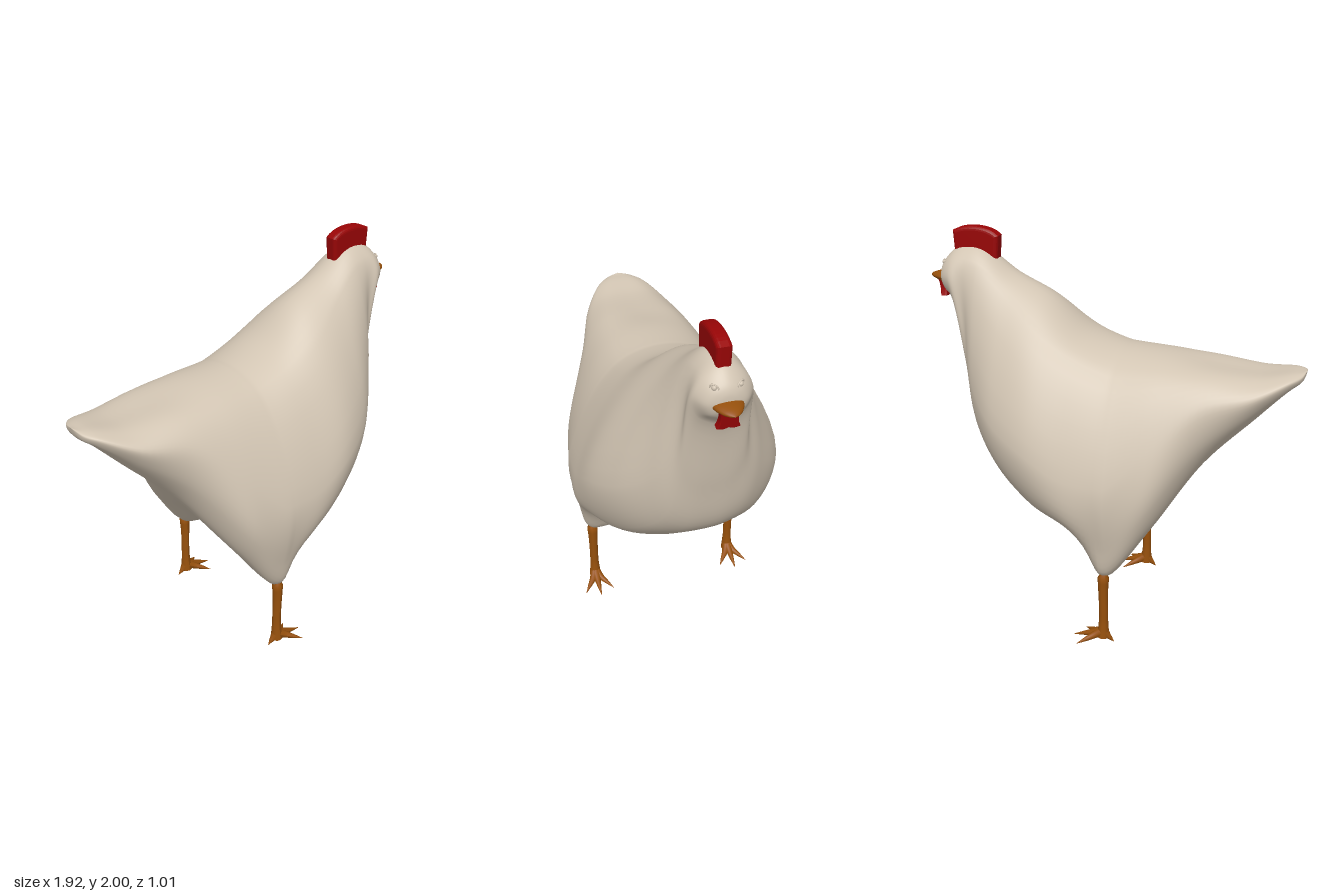
import * as THREE from 'three';

const plumage = new THREE.MeshStandardMaterial({ color: 0xd2c5b3 });
plumage.name = 'plumage';
const combRed = new THREE.MeshStandardMaterial({ color: 0x980506 });
combRed.name = 'combRed';
const horn = new THREE.MeshStandardMaterial({ color: 0x96500c });
horn.name = 'horn';

const V = (x, y, z) => new THREE.Vector3(x, y, z);

function add(parent, name, geometry, material) {
  const mesh = new THREE.Mesh(geometry, material);
  mesh.name = name;
  parent.add(mesh);
  return mesh;
}

// Cross-sections from tail to head:
// x, top y, then (z, y) of shoulder, widest, flank and underside, then belly y
const SECTIONS = [
  [-0.90, 1.425, 0.08, 1.42, 0.13, 1.395, 0.11, 1.36, 0.06, 1.345, 1.34],
  [-0.75, 1.405, 0.14, 1.395, 0.225, 1.33, 0.19, 1.25, 0.10, 1.195, 1.185],
  [-0.52, 1.42, 0.19, 1.40, 0.30, 1.27, 0.29, 1.08, 0.18, 0.965, 0.95],
  [-0.30, 1.455, 0.23, 1.39, 0.41, 1.08, 0.45, 0.79, 0.35, 0.635, 0.71],
  [-0.115, 1.47, 0.25, 1.38, 0.487, 0.90, 0.46, 0.57, 0.393, 0.388, 0.57],
  [-0.068, 1.475, 0.25, 1.385, 0.492, 0.90, 0.46, 0.57, 0.393, 0.388, 0.56],
  [0.10, 1.53, 0.25, 1.44, 0.497, 0.92, 0.465, 0.68, 0.22, 0.56, 0.55],
  [0.30, 1.69, 0.23, 1.55, 0.475, 1.02, 0.39, 0.73, 0.20, 0.625, 0.61],
  [0.50, 1.79, 0.15, 1.70, 0.385, 1.12, 0.30, 0.85, 0.15, 0.775, 0.76],
  [0.65, 1.895, 0.115, 1.81, 0.25, 1.27, 0.20, 1.02, 0.10, 0.94, 0.925],
  [0.725, 1.908, 0.105, 1.83, 0.15, 1.57, 0.145, 1.34, 0.08, 1.235, 1.215],
  [0.80, 1.89, 0.09, 1.84, 0.133, 1.75, 0.11, 1.66, 0.05, 1.615, 1.60],
  [0.86, 1.835, 0.06, 1.81, 0.09, 1.75, 0.07, 1.70, 0.035, 1.68, 1.675],
];

function sectionRing([x, top, ...r]) {
  const side = [0, 2, 4, 6].map((k) => V(x, r[k + 1], r[k]));
  const mirrored = side.map((p) => V(x, p.y, -p.z)).reverse();
  return [V(x, top, 0), ...side, V(x, r[8], 0), ...mirrored];
}

// Shrinks an end section towards a pole to round it off
function capRing(ring, pole, size, along) {
  return ring.map((p) => V(
    pole.x + (p.x - pole.x) * along,
    pole.y + (p.y - pole.y) * size,
    p.z * size));
}

function bodyGeometry() {
  const rings = SECTIONS.map(sectionRing);
  const tail = V(-0.965, 1.43, 0), face = V(0.885, 1.755, 0);
  const first = rings[0], last = rings[rings.length - 1];
  rings.unshift(capRing(first, tail, 0, 0), capRing(first, tail, 0.55, 0.25));
  rings.push(capRing(last, face, 0.55, 0.25), capRing(last, face, 0, 0));

  // Smooth rails run tail to head; smooth loops run around them
  const rails = rings[0].map((_, j) => new THREE.CatmullRomCurve3(rings.map((r) => r[j])));
  const along = 112, around = 60, positions = [], index = [];
  for (let i = 0; i <= along; i++) {
    const loop = new THREE.CatmullRomCurve3(rails.map((c) => c.getPoint(i / along)), true);
    for (let j = 0; j < around; j++) positions.push(...loop.getPoint(j / around).toArray());
  }
  for (let i = 0; i < along; i++) {
    for (let j = 0; j < around; j++) {
      const a = i * around + j, b = i * around + (j + 1) % around;
      index.push(a, b, a + around, b, b + around, a + around);
    }
  }
  const g = new THREE.BufferGeometry();
  g.setAttribute('position', new THREE.Float32BufferAttribute(positions, 3));
  g.setIndex(index);
  g.computeVertexNormals();
  return g;
}

// Tube whose radius follows a list of values along its length
function taperedTube(points, radii) {
  const curve = new THREE.CatmullRomCurve3(points);
  const n = 16, sides = 10;
  const g = new THREE.TubeGeometry(curve, n, 1, sides, false);
  const pos = g.attributes.position, p = V(0, 0, 0);
  for (let k = 0; k < pos.count; k++) {
    const u = Math.floor(k / (sides + 1)) / n;
    const s = u * (radii.length - 1), i = Math.min(Math.floor(s), radii.length - 2);
    const r = THREE.MathUtils.lerp(radii[i], radii[i + 1], s - i);
    const c = curve.getPointAt(u);
    p.fromBufferAttribute(pos, k).sub(c).multiplyScalar(r).add(c);
    pos.setXYZ(k, p.x, p.y, p.z);
  }
  g.computeVertexNormals();
  return g;
}

function makeLeg(name) {
  const leg = new THREE.Group();
  leg.name = name;
  add(leg, 'shank', taperedTube(
    [V(0, 0.42, 0), V(0.002, 0.3, 0), V(0, 0.15, 0), V(0.003, 0.025, 0)],
    [0.006, 0.029, 0.026, 0.024, 0.023, 0.023, 0.023, 0.027, 0.032]), horn);
  // Three front toes and one back toe
  const toes = [[0.16, 0], [0.12, 0.078], [0.12, -0.078], [-0.055, 0]];
  toes.forEach(([x, z], i) => add(leg, 'toe' + (i + 1), taperedTube(
    [V(0, 0.06, 0), V(x * 0.35, 0.036, z * 0.25), V(x * 0.7, 0.018, z * 0.65), V(x, 0.003, z)],
    [0.026, 0.019, 0.011, 0.001]), horn));
  return leg;
}

function makeBeakHalf(height) {
  const profile = [[0, -0.02], [0.9, -0.02], [1, 0], [0.86, 0.35], [0.6, 0.68], [0.3, 0.9], [0, 1]];
  const g = new THREE.LatheGeometry(profile.map(([r, h]) => new THREE.Vector2(r, h)), 24);
  g.rotateZ(-Math.PI / 2);
  g.scale(0.1, height, 0.07);
  return g;
}

export function createModel() {
  const model = new THREE.Group();
  model.name = 'hen';
  add(model, 'body', bodyGeometry(), plumage);

  // Legs
  for (const [name, z] of [['frontSideLeg', 0.393], ['backSideLeg', -0.393]]) {
    const leg = makeLeg(name);
    leg.position.set(-0.09, 0, z);
    model.add(leg);
  }

  // Comb
  const comb = new THREE.Shape();
  comb.moveTo(0.6, 1.86);
  comb.lineTo(0.592, 1.95);
  comb.bezierCurveTo(0.63, 1.985, 0.74, 1.99, 0.795, 1.962);
  comb.lineTo(0.79, 1.87);
  comb.closePath();
  const combGeometry = new THREE.ExtrudeGeometry(comb, {
    depth: 0.034, bevelEnabled: true, bevelSize: 0.02, bevelThickness: 0.017, bevelSegments: 4, curveSegments: 12,
  });
  combGeometry.translate(0, 0, -0.017);
  add(model, 'comb', combGeometry, combRed);

  // Beak
  add(model, 'upperBeak', makeBeakHalf(0.028), horn).position.set(0.86, 1.74, 0);
  const lower = add(model, 'lowerBeak', makeBeakHalf(0.028), horn);
  lower.position.set(0.855, 1.726, 0);
  lower.scale.set(0.8, 1, 0.8);

  // Wattle, flared at the bottom
  const wattle = new THREE.Shape();
  wattle.moveTo(-0.04, 0.03);
  wattle.quadraticCurveTo(-0.028, -0.01, -0.046, -0.05);
  wattle.quadraticCurveTo(-0.02, -0.058, 0, -0.046);
  wattle.quadraticCurveTo(0.02, -0.058, 0.046, -0.05);
  wattle.quadraticCurveTo(0.028, -0.01, 0.04, 0.03);
  const wattleGeometry = new THREE.ExtrudeGeometry(wattle, {
    depth: 0.02, bevelEnabled: true, bevelSize: 0.004, bevelThickness: 0.007, bevelSegments: 2,
  });
  wattleGeometry.rotateY(Math.PI / 2);
  const wattleMesh = add(model, 'wattle', wattleGeometry, combRed);
  wattleMesh.position.set(0.872, 1.697, 0);
  wattleMesh.rotation.z = -0.15;

  // Eyes with slanted lids
  for (const s of [1, -1]) {
    const eye = new THREE.Group();
    eye.name = s > 0 ? 'eyeFrontSide' : 'eyeBackSide';
    add(eye, 'eyeball', new THREE.SphereGeometry(0.012, 12, 8), plumage);
    add(eye, 'eyelid', new THREE.TorusGeometry(0.019, 0.004, 8, 20), plumage).scale.y = 0.7;
    eye.position.set(0.853, 1.82, 0.055 * s);
    eye.rotation.set(0, Math.PI / 2 - 0.6 * s, -0.4 * s);
    model.add(eye);
  }
  return model;
}
